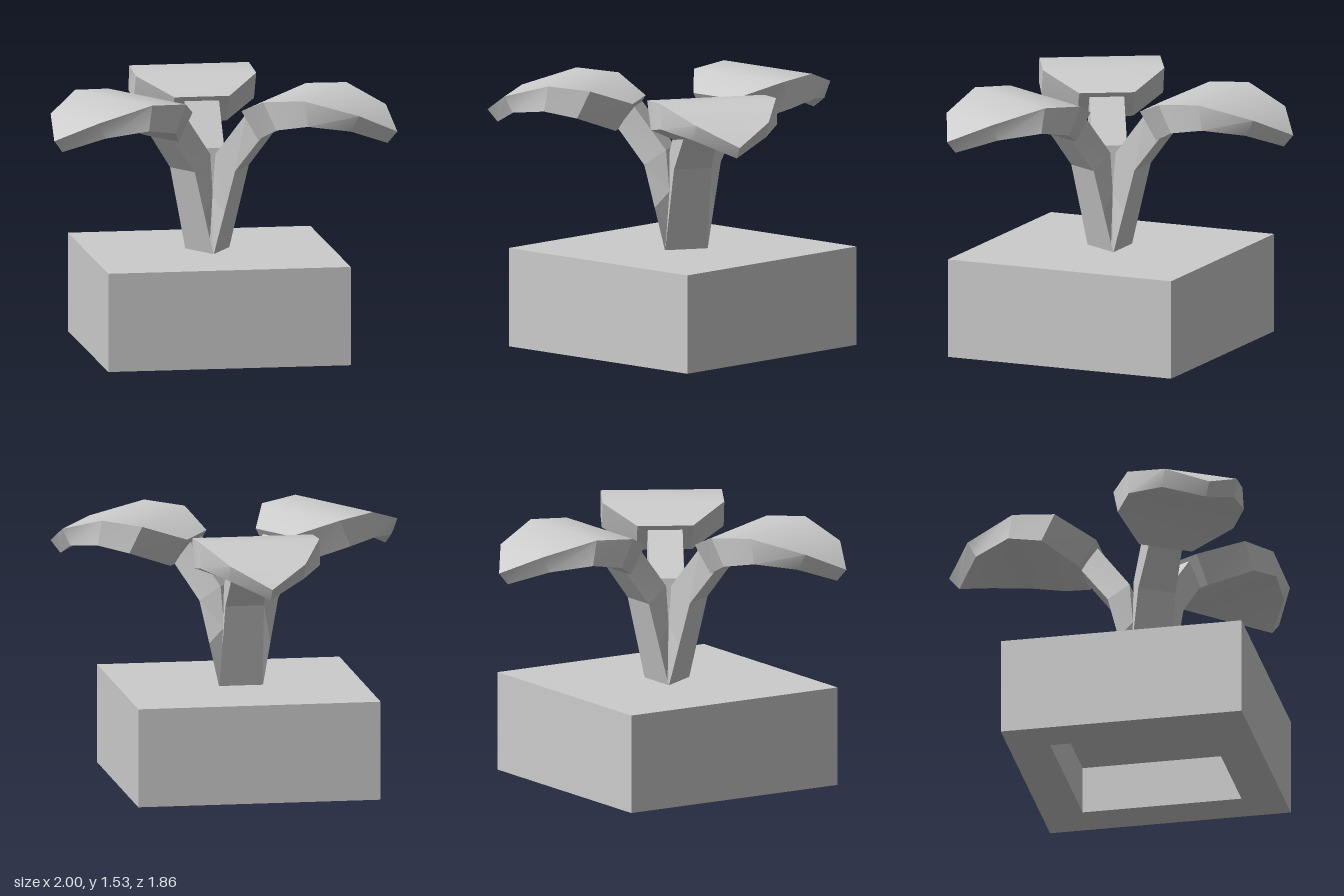
import * as THREE from 'three';
import { toCreasedNormals } from 'three/addons/utils/BufferGeometryUtils.js';

// Skin four-cornered sections: [upperRadius, upperY, upperHalfWidth, lowerRadius, lowerY, lowerHalfWidth]
function loft(sections, crease) {
  const pos = [], idx = [];
  for (const [ur, uy, uw, lr, ly, lw] of sections) {
    pos.push(uw, uy, -ur, -uw, uy, -ur, -lw, ly, -lr, lw, ly, -lr);
  }
  for (let i = 0; i < sections.length - 1; i++) {
    for (let k = 0; k < 4; k++) {
      const a = i * 4 + k, b = i * 4 + (k + 1) % 4, c = b + 4, d = a + 4;
      idx.push(a, d, c, a, c, b);
    }
  }
  const e = (sections.length - 1) * 4;
  idx.push(0, 1, 2, 0, 2, 3, e, e + 2, e + 1, e, e + 3, e + 2);
  const geo = new THREE.BufferGeometry();
  geo.setAttribute('position', new THREE.Float32BufferAttribute(pos, 3));
  geo.setIndex(idx);
  return toCreasedNormals(geo, crease);
}

export function createModel() {
  const model = new THREE.Group();
  model.name = 'pottedSprout';
  const grey = new THREE.MeshStandardMaterial({ color: 0xcccccc });
  grey.name = 'light grey';
  const add = (parent, geo, name) => {
    const mesh = new THREE.Mesh(geo, grey);
    mesh.name = name;
    parent.add(mesh);
    return mesh;
  };
  const centreZ = 0.22, half = 0.705, height = 0.572, recess = 0.28, hole = 0.465;

  // Square block with a square recess underneath
  const block = new THREE.Group();
  block.name = 'block';
  block.position.z = centreZ;
  model.add(block);
  const upper = add(block, new THREE.BoxGeometry(half * 2, height - recess, half * 2), 'blockTop');
  upper.position.y = (height + recess) / 2;
  const square = (Type, s) => new Type([[-s, -s], [s, -s], [s, s], [-s, s]].map(([x, y]) => new THREE.Vector2(x, y)));
  const outline = square(THREE.Shape, half);
  outline.holes.push(square(THREE.Path, hole));
  const rim = new THREE.ExtrudeGeometry(outline, { depth: recess, bevelEnabled: false });
  add(block, rim.rotateX(-Math.PI / 2), 'blockRim');

  // Bent stem: starts as a third of a triangle, then leans outward
  const stemGeo = loft([
    [0.0, 0.565, 0.0, 0.073, 0.565, 0.127],
    [0.055, 0.91, 0.096, 0.137, 0.815, 0.119],
    [0.075, 1.15, 0.1, 0.2, 1.06, 0.112],
    [0.262, 1.395, 0.1, 0.36, 1.268, 0.1],
  ], 0.1);

  // Thick pointed leaf, arched along its length
  const leafGeo = loft([
    [0.257, 1.42, 0.16, 0.358, 1.26, 0.16],
    [0.462, 1.515, 0.35, 0.54, 1.355, 0.35],
    [0.71, 1.535, 0.348, 0.735, 1.388, 0.348],
    [1.0, 1.445, 0.218, 0.95, 1.352, 0.218],
    [1.152, 1.33, 0, 1.092, 1.26, 0],
  ], 0.5);

  // Three identical sprouts around the centre
  ['backSprout', 'leftSprout', 'rightSprout'].forEach((name, i) => {
    const sprout = new THREE.Group();
    sprout.name = name;
    sprout.position.z = centreZ;
    sprout.rotation.y = -i * Math.PI * 2 / 3;
    add(sprout, stemGeo, 'stem');
    add(sprout, leafGeo, 'leaf');
    model.add(sprout);
  });
  return model;
}
